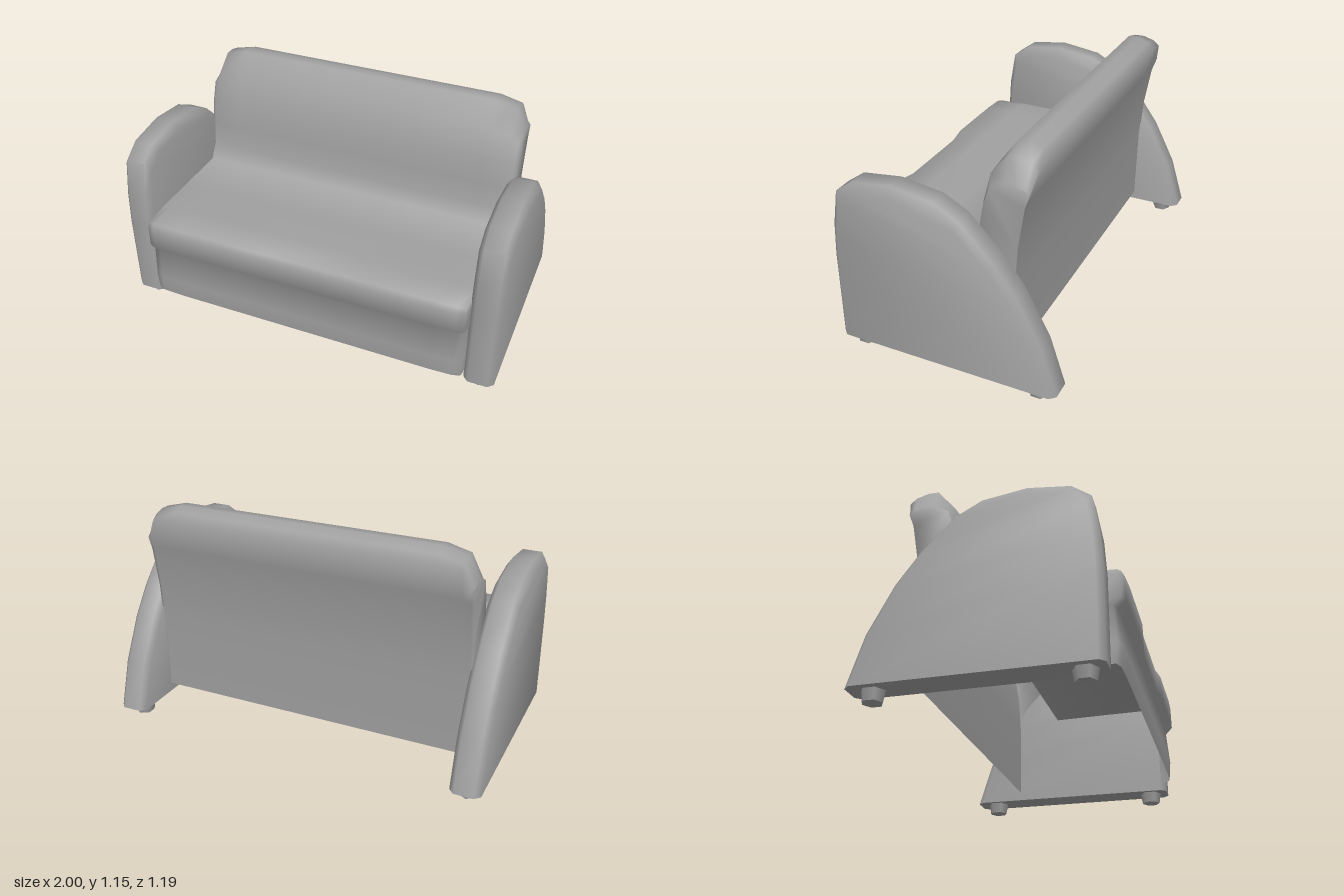
import * as THREE from 'three';
import { toCreasedNormals } from 'three/addons/utils/BufferGeometryUtils.js';

const GREY = 0xa0a0a0;
const material = new THREE.MeshStandardMaterial({ color: GREY });
const sheetMaterial = new THREE.MeshStandardMaterial({ color: GREY, side: THREE.DoubleSide });

// Skins rings of [z, y] points placed at rising x; capFrom is the first ring point of the end caps
function loft(stations, closed, capFrom, crease) {
  const n = stations[0].ring.length, pos = [], index = [];
  for (const { x, ring } of stations) for (const [z, y] of ring) pos.push(x, y, z);
  for (let s = 0; s < stations.length - 1; s++) {
    for (let i = 0; i < (closed ? n : n - 1); i++) {
      const j = (i + 1) % n, a = s * n, b = a + n;
      index.push(a + i, b + i, b + j, a + i, b + j, a + j);
    }
  }
  // End caps zip the two sides of the outline together
  const last = (stations.length - 1) * n;
  const cap = (a, b, c) => index.push(a, b, c, last + a, last + c, last + b);
  for (let lo = capFrom, hi = n - 1; lo + 1 < hi; lo++, hi--) {
    cap(lo, lo + 1, hi);
    if (lo + 1 < hi - 1) cap(lo + 1, hi - 1, hi);
  }
  const g = new THREE.BufferGeometry();
  g.setAttribute('position', new THREE.Float32BufferAttribute(pos, 3));
  g.setIndex(index);
  return toCreasedNormals(g, crease);
}

// Arm outline [z, y], from the front foot over the top to the back foot
const BASE = 0.055;
const armOutline = [
  [0.53, BASE], [0.53, 0.5], [0.52, 0.67], [0.49, 0.85], [0.4, 0.915], [0.2, 0.94],
  [-0.01, 0.91], [-0.13, 0.845], [-0.29, 0.68], [-0.4, 0.53], [-0.52, 0.3], [-0.597, BASE],
];

function armGeometry(side) {
  const stations = [[0.847, 0.95], [0.874, 1], [0.973, 1], [1, 0.95]].map(([x, k]) => ({
    x: x * side,
    ring: armOutline.map(([z, y]) => [z * k, BASE + (y - BASE) * k]),
  }));
  if (side < 0) stations.reverse();
  return loft(stations, true, 0, 1.2);
}

// Upholstery outline [z, y, shift in z and in y at the rounded ends]
const LIP_END = 5;
const bodyOutline = [
  // front panel and seat lip
  [0.565, 0.1, -0.02, 0], [0.575, 0.2, -0.02, 0], [0.56, 0.375, -0.02, 0],
  [0.598, 0.41, -0.025, 0], [0.597, 0.53, -0.025, -0.01], [0.583, 0.557, -0.02, -0.015],
  // seat
  [0.42, 0.558, 0, -0.01], [0.2, 0.555, 0, -0.01], [-0.1, 0.54, 0, 0],
  // backrest front
  [-0.14, 0.62, -0.01, 0], [-0.14, 0.75, -0.025, 0], [-0.163, 0.88, -0.025, 0], [-0.2, 1.03, -0.02, -0.06],
  // backrest top
  [-0.29, 1.15, 0, -0.15], [-0.34, 1.15, 0, -0.145], [-0.4, 1.13, 0.01, -0.13], [-0.435, 1.1, 0.025, -0.12],
  // backrest rear
  [-0.39, 0.93, 0.005, -0.02], [-0.35, 0.7, 0, 0], [-0.335, 0.5, 0, 0], [-0.33, 0.1, 0, 0],
];

function bodyGeometry() {
  // [x, end rounding, sag of the seat lip, depth of the front turned back beside the arms]
  const half = [
    [0.22, 0, 0.012, 0], [0.33, 0, 0, 0], [0.69, 0, 0, 0],
    [0.805, 0.2, 0, 0], [0.843, 0.9, 0, 0], [0.855, 1, 0, 0.1],
  ];
  const mirrored = half.map(([x, ...rest]) => [-x, ...rest]).reverse();
  const stations = [...mirrored, ...half].map(([x, k, sag, turn]) => ({
    x,
    ring: bodyOutline.map(([z, y, dz, dy], i) => {
      const lip = i >= 3 && i <= LIP_END ? sag : 0;
      return [z + dz * k - lip - (i <= LIP_END ? turn : 0), y + dy * k - lip];
    }),
  }));
  return loft(stations, false, 9, 1.6);
}

export function createModel() {
  const model = new THREE.Group();
  model.name = 'sofa';
  const add = (name, geometry, mat = material) => {
    const mesh = new THREE.Mesh(geometry, mat);
    mesh.name = name;
    model.add(mesh);
    return mesh;
  };

  add('seatAndBackrest', bodyGeometry(), sheetMaterial);

  // Arms, each on two tapered feet
  const foot = new THREE.CylinderGeometry(0.058, 0.048, BASE, 6);
  for (const [label, side] of [['left', 1], ['right', -1]]) {
    add(label + 'Arm', armGeometry(side));
    for (const [end, z] of [['Front', 0.435], ['Back', -0.488]]) {
      add(label + end + 'Foot', foot).position.set(side * 0.918, BASE / 2, z);
    }
  }
  return model;
}
